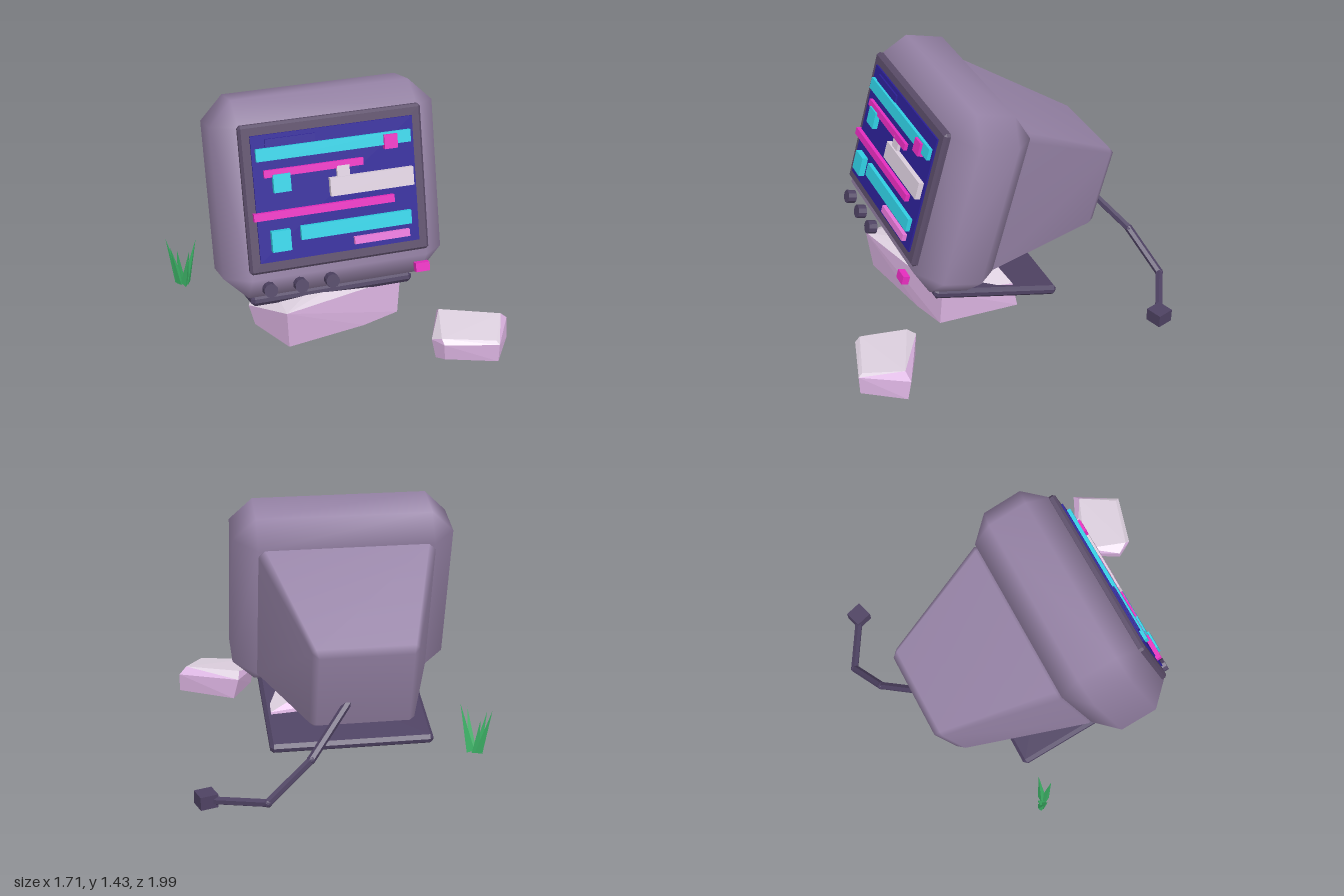
import * as THREE from 'three';
import { mergeVertices } from 'three/addons/utils/BufferGeometryUtils.js';
import { ConvexGeometry } from 'three/addons/geometries/ConvexGeometry.js';

const material = (name, color, flatShading = false) =>
  Object.assign(new THREE.MeshStandardMaterial({ color, flatShading }), { name });

// Box with single-facet chamfers; rearScale tapers it towards -z
function chamferBox(w, h, d, c, { smooth = false, rearScale = 1 } = {}) {
  const [x, y, z] = [w / 2, h / 2, d / 2];
  const points = [];
  for (const sx of [-1, 1]) for (const sy of [-1, 1]) for (const sz of [-1, 1]) {
    for (const [px, py, pz] of [[x, y - c, z - c], [x - c, y, z - c], [x - c, y - c, z]]) {
      const s = THREE.MathUtils.lerp(rearScale, 1, (sz * pz + z) / d);
      points.push(new THREE.Vector3(sx * px * s, sy * py * s, sz * pz));
    }
  }
  const hull = new ConvexGeometry(points);
  if (!smooth) return hull;
  hull.deleteAttribute('normal');
  const merged = mergeVertices(hull, 1e-4);
  merged.computeVertexNormals();
  return merged;
}

// Faceted stone: group 0 for its sides, group 1 for faces looking up or down
function stoneHull(list) {
  const geo = new ConvexGeometry(list.map((p) => new THREE.Vector3(...p)));
  const normal = geo.attributes.normal;
  for (let i = 0; i < normal.count; i += 3) geo.addGroup(i, 3, Math.abs(normal.getY(i)) > 0.65 ? 1 : 0);
  return geo;
}

// Cylinder or cone running from point a to point b
function rod(a, b, r0, r1, sides) {
  const from = new THREE.Vector3(...a), to = new THREE.Vector3(...b);
  const dir = to.clone().sub(from);
  const geo = new THREE.CylinderGeometry(r1, r0, dir.length(), sides);
  geo.applyQuaternion(new THREE.Quaternion().setFromUnitVectors(new THREE.Vector3(0, 1, 0), dir.normalize()));
  const mid = from.add(to).multiplyScalar(0.5);
  return geo.translate(mid.x, mid.y, mid.z);
}

export function createModel() {
  const model = new THREE.Group();
  model.name = 'oldMonitorScene';
  const casing = material('casingMauve', 0x9582a5);
  const bezelMat = material('bezelPlum', 0x5a4c68);
  const dark = material('darkPlum', 0x4e4262, true);
  const navy = material('screenNavy', 0x2c2096);
  const cyan = material('cyan', 0x30d0e4);
  const magenta = material('magenta', 0xe82ec0);
  const pink = material('pink', 0xe878da);
  const pale = material('paleLavender', 0xdccfde);
  const lilac = material('stoneLilac', 0xdcb4e2, true);
  const leaf = material('grassGreen', 0x3cb266, true);

  const add = (parent, name, geo, mat, x = 0, y = 0, z = 0) => {
    const mesh = new THREE.Mesh(geo, mat);
    mesh.name = name;
    mesh.position.set(x, y, z);
    parent.add(mesh);
    return mesh;
  };

  // Monitor, leaning back
  const monitor = new THREE.Group();
  monitor.name = 'monitor';
  monitor.position.set(-0.075, 0.87, 0.215);
  monitor.rotation.x = -0.262;
  model.add(monitor);
  add(monitor, 'housing', chamferBox(1.255, 1.1, 0.49, 0.13, { smooth: true }), casing);
  add(monitor, 'tubeCover', chamferBox(1.02, 0.9, 0.76, 0.04, { smooth: true, rearScale: 0.54 }), casing, 0, -0.008, -0.6);
  add(monitor, 'bezel', chamferBox(1.015, 0.815, 0.05, 0.014), bezelMat, 0, 0.027, 0.245);
  add(monitor, 'screen', new THREE.BoxGeometry(0.9, 0.695, 0.02), navy, 0, 0.03, 0.27);

  // Raised blocks on the screen: left, right, bottom, top, front depth
  const blocks = [
    [navy, -0.45, -0.175, 1.25, 1.29, 0.29],
    [cyan, -0.505, 0.355, 1.18, 1.245, 0.3],
    [magenta, 0.2, 0.275, 1.16, 1.235, 0.315],
    [magenta, -0.47, 0.08, 1.092, 1.13, 0.3],
    [cyan, -0.425, -0.33, 1.01, 1.105, 0.31],
    [pale, -0.07, 0, 1.04, 1.105, 0.3],
    [pale, -0.115, 0.355, 0.95, 1.047, 0.31],
    [magenta, -0.545, 0.24, 0.872, 0.912, 0.305],
    [cyan, -0.46, -0.355, 0.7, 0.81, 0.315],
    [cyan, -0.295, 0.33, 0.742, 0.815, 0.305],
    [pink, 0, 0.315, 0.675, 0.713, 0.305],
  ];
  for (const [mat, x0, x1, y0, y1, front] of blocks) {
    const depth = front - 0.275;
    add(monitor, 'screenBlock', new THREE.BoxGeometry(x1 - x0, (y1 - y0) / 0.966, depth), mat,
      (x0 + x1) / 2 + 0.075, ((y0 + y1) / 2 - 0.948) / 0.966, front - depth / 2);
  }

  // Controls under the screen
  for (const x of [-0.41, -0.237, -0.063]) {
    const knob = add(monitor, 'knob', new THREE.CylinderGeometry(0.039, 0.039, 0.05, 10), dark, x, -0.47, 0.272);
    knob.rotation.x = Math.PI / 2;
  }
  add(monitor, 'powerButton', new THREE.BoxGeometry(0.08, 0.05, 0.04), magenta, 0.455, -0.473, 0.276);

  // Base plate, parallel to the housing floor
  add(monitor, 'basePlate', chamferBox(0.94, 0.062, 0.79, 0.02), dark, 0, -0.597, -0.341);

  // Stones
  add(model, 'largeStone', stoneHull([
    [-0.38, 0.28, 0.55], [0.345, 0.275, 0.36], [-0.36, 0.04, 0.52], [0.33, 0.05, 0.37],
    [0.11, 0.03, 0.42], [-0.53, 0.2, 0.28], [-0.5, 0.08, 0.3], [0.36, 0.22, -0.07],
    [0.365, 0.06, -0.1], [0.17, 0, -0.06], [-0.42, 0.05, -0.05], [-0.38, 0.27, 0],
    [0.15, 0.31, 0], [0.12, 0.32, 0.3], [-0.13, 0.315, 0.32],
  ]), [lilac, pale]);
  add(model, 'smallStone', stoneHull([
    [0.405, 0.175, 0.88], [0.48, 0.2, 0.63], [0.8, 0.195, 0.765], [0.69, 0.165, 0.97],
    [0.37, 0.14, 0.82], [0.49, 0.16, 0.58], [0.845, 0.15, 0.75], [0.7, 0.15, 0.995],
    [0.41, 0.15, 0.91], [0.39, 0.03, 0.84], [0.52, 0.03, 0.6], [0.845, 0.035, 0.77],
    [0.7, 0.04, 0.99], [0.42, 0.05, 0.9],
  ]), [lilac, pale]);

  // Power cable and plug
  const cable = [[0, 0.54, -0.68], [0.24, 0.3, -0.89], [0.48, 0.11, -0.975], [0.77, 0.065, -0.81]];
  for (let i = 0; i < 3; i++) {
    add(model, 'cable', rod(cable[i], cable[i + 1], 0.023, 0.023, 6), dark);
    if (i) add(model, 'cableBend', new THREE.IcosahedronGeometry(0.024, 1), dark, ...cable[i]);
  }
  add(model, 'plug', new THREE.BoxGeometry(0.1, 0.075, 0.1), dark, 0.79, 0.07, -0.8).rotation.y = 0.3;

  // Grass tuft
  const tips = [[-0.695, 0.32, -0.33], [-0.86, 0.3, -0.42], [-0.75, 0.27, -0.275], [-0.8, 0.23, -0.39], [-0.845, 0.27, -0.36]];
  for (const [x, y, z] of tips) {
    const base = [-0.78 + (x + 0.78) * 0.25, 0.022, -0.345 + (z + 0.345) * 0.25];
    add(model, 'grassBlade', rod(base, [x, y, z], 0.027, 0, 3), leaf);
  }
  return model;
}
